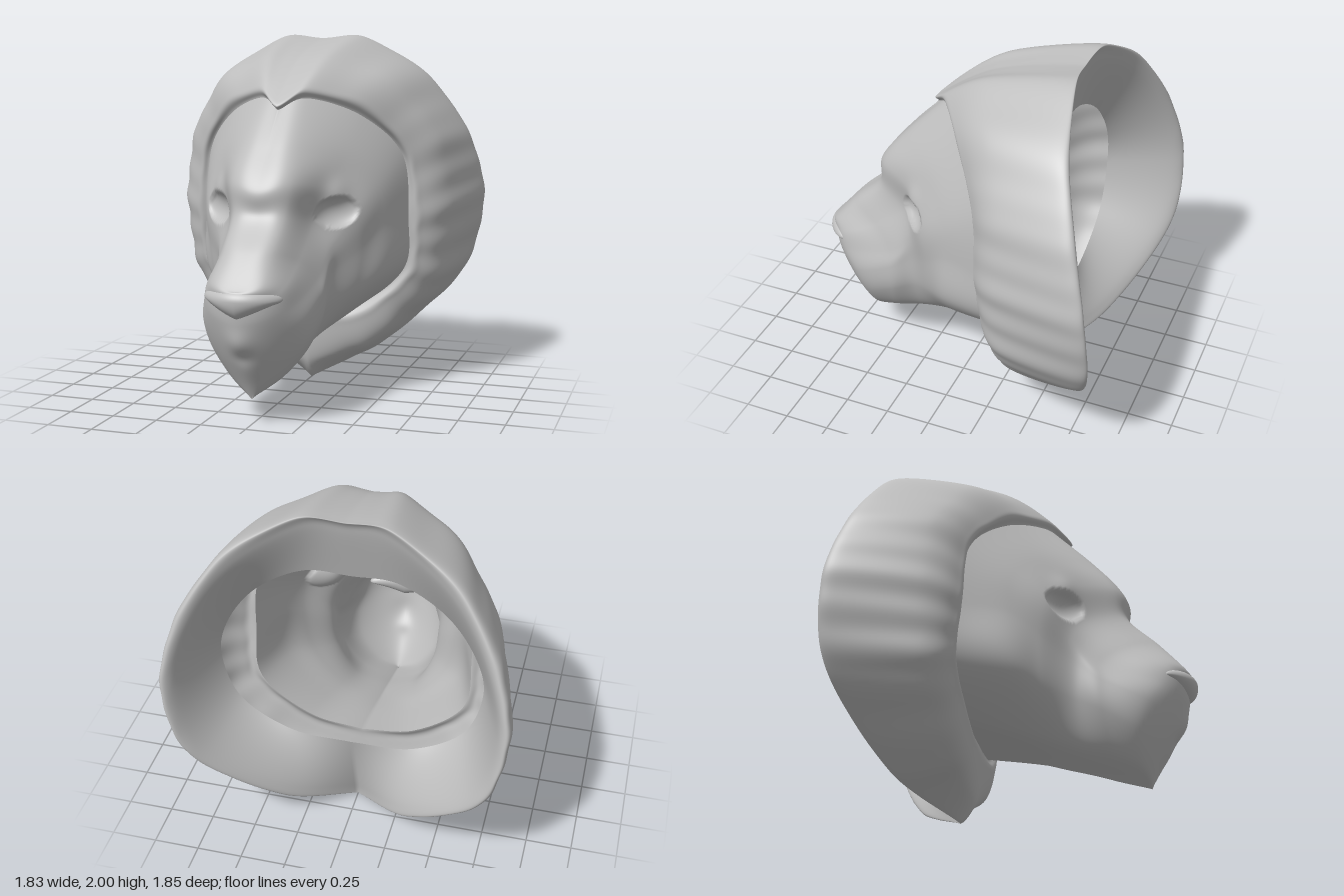
import * as THREE from 'three';
import { mergeVertices } from 'three/addons/utils/BufferGeometryUtils.js';

// Half cross-sections: eight points each, from top centre round the left side to bottom centre.
const hairline = [[0, 1.61, .24], [.13, 1.67, .13], [.38, 1.57, -.06], [.57, 1.35, -.22],
  [.60, 1.0, -.25], [.57, .70, -.28], [.30, .47, -.27], [0, .40, -.25]];

// Forehead, brow, eye line, muzzle, muzzle front and the centre line of nose and chin
const faceRows = [
  [[0, 1.42, .41], [.15, 1.43, .36], [.36, 1.36, .13], [.50, 1.20, 0], [.52, .98, -.02], [.50, .68, -.02], [.26, .43, -.04], [0, .335, 0]],
  [[0, 1.22, .565], [.16, 1.25, .50], [.30, 1.20, .28], [.43, 1.06, .17], [.44, .88, .13], [.39, .62, .13], [.21, .39, .14], [0, .275, .20]],
  [[0, 1.08, .575], [.14, 1.08, .54], [.235, 1.02, .36], [.32, .90, .29], [.32, .76, .28], [.29, .56, .28], [.18, .345, .30], [0, .23, .36]],
  [[0, .92, .74], [.13, .92, .70], [.22, .86, .54], [.285, .76, .43], [.31, .65, .43], [.29, .49, .43], [.18, .30, .46], [0, .185, .50]],
  [[0, .77, .87], [.12, .77, .85], [.19, .73, .79], [.22, .64, .75], [.25, .53, .68], [.225, .39, .63], [.125, .24, .62], [0, .145, .64]],
  [[0, .75, .89], [0, .73, .90], [0, .66, .88], [0, .57, .865], [0, .46, .83], [0, .36, .78], [0, .23, .70], [0, .14, .65]],
];

// Front lip, body, outer rim, rim turning inwards and the inner edge of the backing
const maneRows = [
  [[0, 1.66, .23], [.15, 1.73, .12], [.42, 1.63, -.06], [.62, 1.37, -.22], [.67, 1.0, -.25], [.62, .66, -.28], [.32, .40, -.25], [0, .33, -.25]],
  [[0, 1.87, -.09], [.20, 1.88, -.11], [.52, 1.74, -.25], [.74, 1.42, -.38], [.795, 1.02, -.41], [.72, .60, -.42], [.38, .25, -.33], [0, .12, -.28]],
  [[0, 1.98, -.53], [.25, 1.985, -.56], [.60, 1.78, -.65], [.83, 1.43, -.77], [.905, 1.04, -.85], [.78, .59, -.84], [.36, .19, -.63], [0, .01, -.355]],
  [[0, 1.93, -.55], [.23, 1.93, -.58], [.56, 1.72, -.68], [.77, 1.40, -.80], [.85, 1.02, -.88], [.73, .62, -.86], [.33, .25, -.64], [0, .08, -.375]],
  [[0, 1.60, -.46], [.25, 1.60, -.47], [.50, 1.46, -.49], [.66, 1.24, -.51], [.71, 1.0, -.51], [.61, .72, -.51], [.33, .54, -.50], [0, .51, -.49]],
];

const mirrorX = p => [-p[0], p[1], p[2]];
const extend = (a, b) => a.map((v, k) => 2 * v - b[k]);

// Smooth curve through p[1..n], with p[0] and p[n + 1] as end guides
function spline(p, t) {
  const i = Math.min(Math.floor(t), p.length - 4), f = t - i;
  return [0, 1, 2].map(k => {
    const a = p[i][k], b = p[i + 1][k], c = p[i + 2][k], d = p[i + 3][k];
    return b + .5 * f * (c - a + f * (2 * a - 5 * b + 4 * c - d + f * (3 * (b - c) + d - a)));
  });
}

// Mirrored smooth skin over a list of half cross-sections
function skin(rows, { closed = false, flip = false, adjust }) {
  const cols = 7, du = 22, dt = 14, wide = cols * du, long = (rows.length - 1) * dt;
  const pos = [], index = [];
  for (let j = -wide; j <= wide; j++) {
    const u = Math.abs(j) / du;
    // the hairline comes to a point at the top; every section is keeled underneath
    const across = rows.map((r, n) => spline(
      [n === 0 ? extend(r[0], r[1]) : mirrorX(r[1]), ...r, extend(r[7], r[6])], u));
    const n = across.length;
    const end = closed ? mirrorX(across[n - 2]) : extend(across[n - 1], across[n - 2]);
    const guide = [extend(across[0], across[1]), ...across, end];
    for (let i = 0; i <= long; i++) {
      const p = spline(guide, i / dt);
      adjust(p, u, i / dt);
      if (Math.abs(j) === wide || j === 0 || (closed && i === long)) p[0] = 0;
      pos.push(j < 0 ? -p[0] : p[0], p[1], p[2]);
    }
  }
  const step = long + 1;
  for (let j = 0; j < 2 * wide; j++) for (let i = 0; i < long; i++) {
    const a = j * step + i, b = a + 1, c = a + step, d = c + 1;
    if (flip) index.push(a, c, b, b, c, d);
    else index.push(a, b, c, b, d, c);
  }
  let g = new THREE.BufferGeometry();
  g.setAttribute('position', new THREE.Float32BufferAttribute(pos, 3));
  g.setIndex(index);
  g = mergeVertices(g, 1e-4);
  g.computeVertexNormals();
  return g;
}

const bump = (p, x, y, z, r) =>
  Math.exp(-((p[0] - x) ** 2 + (p[1] - y) ** 2 + (p[2] - z) ** 2) / (r * r));

// Hollow eye sockets under raised lids, and the lips
function sculptFace(p) {
  const inside = 1 - ((p[0] - .335) / .095) ** 2 - ((p[1] - 1.08) / .085) ** 2;
  const push = .016 * bump(p, .34, 1.19, .25, .07) - .05 * Math.max(0, inside) ** .6;
  p[0] += .5 * push;
  p[2] += .85 * push;
  p[2] += .014 * bump(p, 0, .47, .84, .07) - .01 * bump(p, 0, .38, .80, .05);
}

// Radial locks of hair, finest at the sides, fading out at the hairline and inside the rim
function sculptMane(p, u, t) {
  const weight = t < 1 ? t * .8 : t < 2 ? .8 + .2 * (t - 1) : Math.max(0, 1 - (t - 2) * .5);
  const sides = Math.exp(-(((u - 4.4) / 1.5) ** 2));
  const wave = .6 * Math.cos(u * 6.3 + .4) + .6 * sides * Math.cos(u * 14 + .8 * t);
  const f = 1 + .012 * weight * wave * Math.min(1, u * 1.5, (7 - u) * 1.5);
  p[0] *= f;
  p[1] = 1 + (p[1] - 1) * f;
}

// Broad nose pad wrapped round the muzzle, drawn down to a point in the middle
function noseGeometry() {
  const g = new THREE.SphereGeometry(1, 48, 32);
  const p = g.attributes.position;
  for (let i = 0; i < p.count; i++) {
    const X = p.getX(i), Y = p.getY(i), x = .21 * X;
    const height = Y > 0 ? .058 : .04 + .06 * Math.max(0, 1 - 1.2 * Math.abs(X));
    p.setXYZ(i, x, .70 + Y * height, .845 + .075 * p.getZ(i) - 1.7 * x * x);
  }
  g.computeVertexNormals();
  return g;
}

export function createModel() {
  const group = new THREE.Group();
  group.name = 'lionHeadMask';
  const grey = new THREE.MeshStandardMaterial({ color: 0xbebebe, side: THREE.DoubleSide });
  grey.name = 'grey';

  const add = (name, geometry) => {
    const mesh = new THREE.Mesh(geometry, grey);
    mesh.name = name;
    group.add(mesh);
  };

  add('face', skin([hairline, ...faceRows], { closed: true, adjust: sculptFace }));
  add('mane', skin([hairline, ...maneRows], { flip: true, adjust: sculptMane }));
  add('nose', noseGeometry());
  return group;
}
